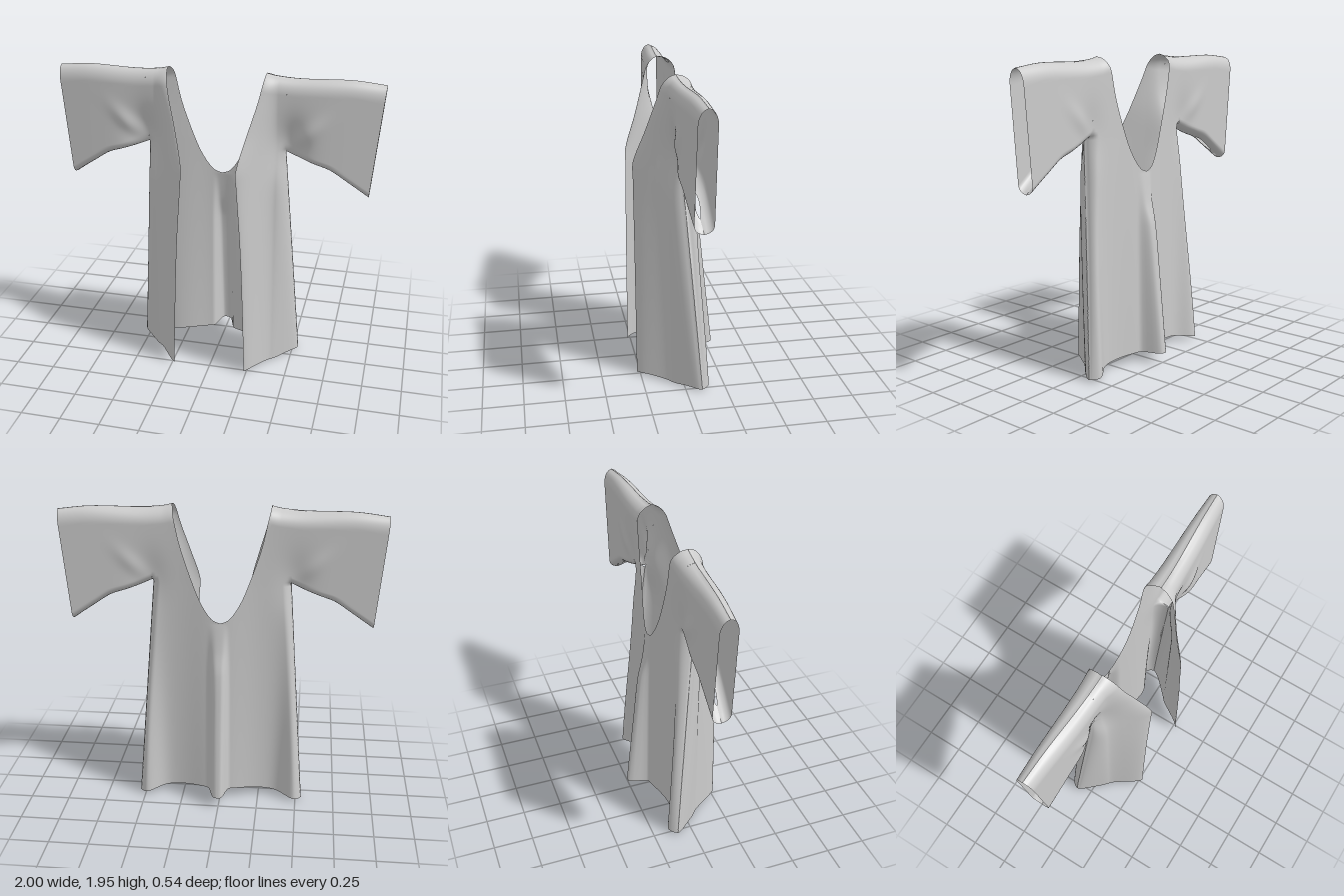
import * as THREE from 'three';

const clamp = (v, a = 0, b = 1) => Math.min(b, Math.max(a, v));
const bump = (v, width) => Math.exp(-((v / width) ** 2));

// Smooth curve through [position, value] pairs
function curve(p) {
  const slope = i => {
    const a = p[Math.max(0, i - 1)], b = p[Math.min(p.length - 1, i + 1)];
    return (b[1] - a[1]) / (b[0] - a[0]);
  };
  return q => {
    if (q <= p[0][0]) return p[0][1];
    if (q >= p[p.length - 1][0]) return p[p.length - 1][1];
    let i = 0;
    while (q > p[i + 1][0]) i++;
    const h = p[i + 1][0] - p[i][0], t = (q - p[i][0]) / h, t2 = t * t, t3 = t2 * t;
    return (2 * t3 - 3 * t2 + 1) * p[i][1] + (t3 - 2 * t2 + t) * h * slope(i)
      + (3 * t2 - 2 * t3) * p[i + 1][1] + (t3 - t2) * h * slope(i + 1);
  };
}

// Outline of the garment (left half)
const ARM_X = 0.43, ARM_Y = 1.47;
const frontEdgeX = curve([[0, 0.235], [0.5, 0.218], [0.9, 0.2], [1.3, 0.172], [1.4, 0.167], [1.6, 0.215], [1.8, 0.27], [1.95, 0.3]]);
const frontEdgeZ = curve([[0, 0.27], [1.3, 0.27], [1.4, 0.268], [1.6, 0.2], [1.85, 0.125], [1.95, 0.1]]);
const backNeckY = curve([[0, 1.235], [0.05, 1.258], [0.1, 1.325], [0.15, 1.425], [0.2, 1.56], [0.25, 1.72], [0.28, 1.86], [0.3, 1.95]]);
const shoulderY = curve([[0.3, 1.95], [0.36, 1.937], [0.5, 1.927], [0.8, 1.93], [1, 1.91]]);
const sleeveBottomY = curve([[ARM_X, ARM_Y], [0.52, 1.43], [0.6, 1.4], [0.7, 1.365], [0.8, 1.3], [0.94, 1.205]]);
const drop = y => Math.max(0, (ARM_Y - y) / ARM_Y);
const sideX = y => ARM_X + 0.11 * drop(y);
const cuffX = y => 1 - 0.06 * (1.91 - y) / 0.705;

// Depth of the cloth
const upperFront = curve([[0.3, 0.1], [0.45, 0.088], [0.7, 0.072], [1, 0.042]]);
const lowerFront = curve([[0.2, 0.11], [0.34, 0.1], [0.45, 0.03], [0.6, -0.07]]);
const ridgeDepth = curve([[0.05, 0.127], [0.6, 0.081], [0.9, 0.054], [1.05, 0.023], [1.23, 0]]);
const foldLine = curve([[0.3, 0.03], [0.5, 0.02], [0.8, 0], [1, -0.012]]);
const roundOff = (d, r) => Math.sqrt(1 - (1 - clamp((d - 0.003) / r)) ** 2);

function depth(x, y, isFront, s) {
  const t = drop(y) * clamp(1 - (x - sideX(y)) / 0.1);
  const mid = foldLine(x) * (1 - t) - 0.1 * t;
  let z;
  if (isFront) {
    z = upperFront(x) * (1 - t) + lowerFront(x) * t;
    // lapel swinging forward
    const f = clamp((0.38 - x) / (0.38 - frontEdgeX(y)));
    z += (frontEdgeZ(y) - z) * (0.35 * f ** 1.4 + 0.65 * f * f * (3 - 2 * f));
  } else {
    const sx = s * x, width = sx < 0 ? 0.042 : 0.06;
    z = -0.065 - (0.04 + 0.04 * t) * bump(x, 0.2);
    // centre ridge and side flutes
    z -= ridgeDepth(y) * Math.exp(-((sx / width) ** 4));
    z -= 0.085 * t * bump(x - 0.49, 0.09);
  }
  // drape creases running from underarm to shoulder
  const a = x - ARM_X, b = y - ARM_Y, along = (a + b) / 1.41;
  z += (isFront ? 0.016 : -0.01) * bump(a - b, 0.07) * bump(along - 0.17, 0.13);
  // cloth pinched together at the underarm
  z -= (isFront ? 0.055 : -0.02) * bump(a - 0.02, 0.1) * bump(b - 0.03, 0.17);
  // roll the cloth over at the shoulder, underarm and side
  const below = Math.hypot(Math.max(0, sideX(y) - x), Math.max(0, y - sleeveBottomY(x)));
  const k = roundOff(shoulderY(x) - y, 0.09) * roundOff(below, isFront ? 0.05 + 0.12 * t : 0.05);
  return mid + (z - mid) * k;
}

// Grid of cloth: place(u, v) gives x and y, depth gives z
function sheet(name, place, isFront, s, cols, rows, material) {
  const pos = [], nor = [], idx = [], e = 0.004, n = new THREE.Vector3();
  for (let j = 0; j <= rows; j++) {
    for (let i = 0; i <= cols; i++) {
      const [x, y] = place(i / cols, j / rows);
      const at = (dx, dy) => depth(x + dx, y + dy, isFront, s);
      pos.push(s * x, y, at(0, 0));
      n.set(-s * (at(e, 0) - at(-e, 0)) / (2 * e), -(at(0, e) - at(0, -e)) / (2 * e), 1);
      n.normalize().multiplyScalar(isFront ? 1 : -1);
      nor.push(n.x, n.y, n.z);
      if (i < cols && j < rows) {
        const a = j * (cols + 1) + i, b = a + 1, c = a + cols + 1, d = c + 1;
        if (isFront === (s > 0)) idx.push(a, b, d, a, d, c);
        else idx.push(a, d, b, a, c, d);
      }
    }
  }
  const g = new THREE.BufferGeometry();
  g.setAttribute('position', new THREE.Float32BufferAttribute(pos, 3));
  g.setAttribute('normal', new THREE.Float32BufferAttribute(nor, 3));
  g.setIndex(idx);
  const mesh = new THREE.Mesh(g, material);
  mesh.name = name;
  return mesh;
}

// Rows gather towards the shoulder, columns towards the side
const easeOut = v => 1 - (1 - v) ** 1.8;

function frontPlace(u, v) {
  const w = easeOut(u), hem = 0.008 + 0.006 * Math.sin(w * 9);
  const y = hem + (shoulderY(0.3 + (ARM_X - 0.3) * w) - hem) * easeOut(v);
  const x0 = frontEdgeX(y);
  return [x0 + (sideX(y) - x0) * w, y];
}

function backPlace(u, v) {
  const w = Math.sin(u * Math.PI / 2), xTop = w * ARM_X;
  const top = xTop < 0.3 ? backNeckY(xTop) : shoulderY(xTop);
  const hem = 0.012 + 0.06 * (1 - w * w);
  const y = hem + (top - hem) * easeOut(v);
  return [w * sideX(y), y];
}

function sleevePlace(u, v) {
  const h = (1 - Math.cos(Math.PI * v)) / 2;
  const xb = ARM_X + (0.94 - ARM_X) * u, xt = ARM_X + (1 - ARM_X) * u;
  const y = sleeveBottomY(xb) + (shoulderY(xt) - sleeveBottomY(xb)) * h;
  return [ARM_X + (cuffX(y) - ARM_X) * u, y];
}

export function createModel() {
  const robe = new THREE.Group();
  robe.name = 'robe';
  const cloth = new THREE.MeshStandardMaterial({ color: 0xcccccc, side: THREE.DoubleSide });
  for (const s of [1, -1]) {
    const side = s > 0 ? 'left' : 'right';
    robe.add(
      sheet(side + 'FrontPanel', frontPlace, true, s, 40, 70, cloth),
      sheet(side + 'BackPanel', backPlace, false, s, 80, 70, cloth),
      sheet(side + 'SleeveFront', sleevePlace, true, s, 40, 40, cloth),
      sheet(side + 'SleeveBack', sleevePlace, false, s, 40, 40, cloth)
    );
  }
  return robe;
}
